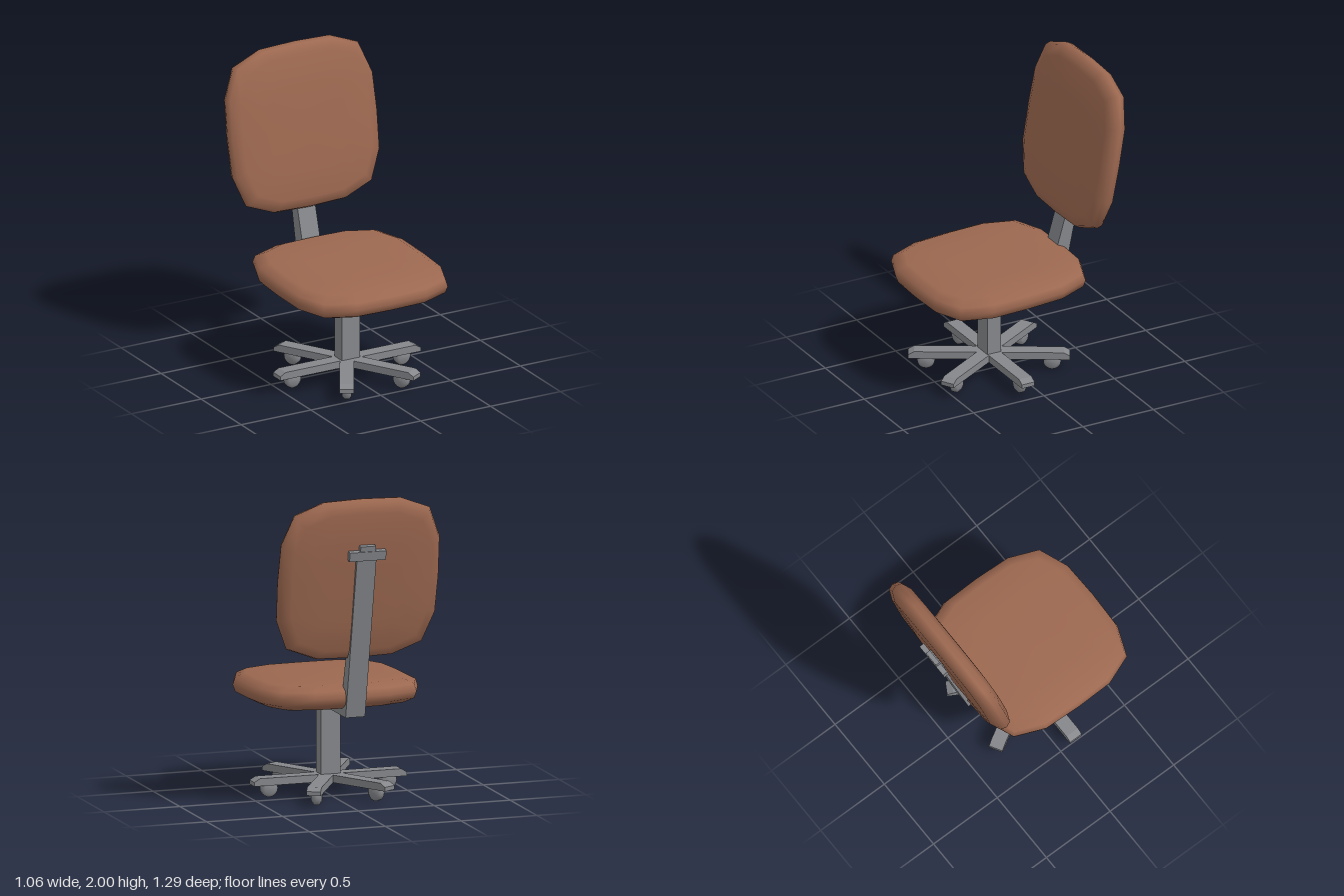
import * as THREE from 'three';

const upholstery = new THREE.MeshStandardMaterial({ color: 0x9c6850 });
upholstery.name = 'brownUpholstery';
const metal = new THREE.MeshStandardMaterial({ color: 0x85878b });
metal.name = 'greyMetal';
const MID_X = -0.015; // the frame sits slightly off the cushions' centre line
const BASE_Z = 0.105;

function add(parent, name, geometry, material, x = 0, y = 0, z = 0) {
  const mesh = new THREE.Mesh(geometry, material);
  mesh.name = name;
  mesh.position.set(x, y, z);
  parent.add(mesh);
  return mesh;
}

// Puffy rounded square lying in xz, lofted from scaled copies of one outline
function cushionGeometry(halfThickness) {
  const quarter = [[0.53, 0], [0.522, 0.25], [0.445, 0.445], [0.25, 0.522]];
  const outline = [];
  for (let q = 0; q < 4; q++) {
    const c = Math.round(Math.cos(q * Math.PI / 2)), s = Math.round(Math.sin(q * Math.PI / 2));
    for (const [x, z] of quarter) outline.push([x * c - z * s, x * s + z * c]);
  }
  const rings = [[0.5, -0.98], [0.86, -0.86], [0.975, -0.5], [1, 0], [0.975, 0.5], [0.86, 0.86], [0.5, 0.98]];
  const n = outline.length, pos = [], index = [];
  for (const [scale, h] of rings) {
    for (const [x, z] of outline) pos.push(x * scale, h * halfThickness, z * scale);
  }
  const bottom = rings.length * n, top = bottom + 1, last = (rings.length - 1) * n;
  pos.push(0, -halfThickness, 0, 0, halfThickness, 0);
  for (let i = 0; i < n; i++) {
    const j = (i + 1) % n;
    for (let r = 0; r < rings.length - 1; r++) {
      const a = r * n + i, b = r * n + j;
      index.push(a, a + n, b, b, a + n, b + n);
    }
    index.push(bottom, i, j, top, last + j, last + i);
  }
  const g = new THREE.BufferGeometry();
  g.setAttribute('position', new THREE.Float32BufferAttribute(pos, 3));
  g.setIndex(index);
  g.computeVertexNormals();
  return g;
}

// Extrudes a side profile given as [z, y] points, centred across x
function sideExtrude(points, width) {
  const shape = new THREE.Shape(points.map(([z, y]) => new THREE.Vector2(-z, y)));
  const g = new THREE.ExtrudeGeometry(shape, { depth: width, bevelEnabled: false });
  g.translate(0, 0, -width / 2);
  g.rotateY(Math.PI / 2);
  return g;
}

export function createModel() {
  const chair = new THREE.Group();
  chair.name = 'officeChair';

  // Cushions
  add(chair, 'seatCushion', cushionGeometry(0.088), upholstery, 0, 0.681, 0.118).rotation.x = 0.04;
  add(chair, 'backCushion', cushionGeometry(0.077), upholstery, 0, 1.477, -0.488).rotation.x = Math.PI / 2 - 0.18;

  // Bent support: tapering bar below the seat, rising behind the back
  const support = [[0.42, 0.575], [0.42, 0.587], [-0.31, 0.64], [-0.4, 0.95], [-0.55, 1.66], [-0.622, 1.66], [-0.4, 0.575]];
  add(chair, 'backSupport', sideExtrude(support, 0.128), metal, MID_X);

  // Clamp at the top of the support
  const clamp = new THREE.Group();
  clamp.name = 'backClamp';
  clamp.position.set(MID_X, 1.645, -0.62);
  clamp.rotation.x = -0.2;
  add(clamp, 'clampPlate', new THREE.BoxGeometry(0.24, 0.06, 0.035), metal);
  add(clamp, 'clampTab', new THREE.BoxGeometry(0.1, 0.035, 0.03), metal, 0, 0.047, 0.002);
  chair.add(clamp);

  // Central post
  add(chair, 'post', new THREE.BoxGeometry(0.128, 0.52, 0.095), metal, MID_X, 0.34, BASE_Z);

  // Six legs with a caster under each tip
  const base = new THREE.Group();
  base.name = 'base';
  base.position.set(MID_X, 0, BASE_Z);
  chair.add(base);
  const legGeometry = sideExtrude([[0, 0.08], [0, 0.128], [0.465, 0.128], [0.503, 0.106], [0.503, 0.08]], 0.09);
  const wheelProfile = [[0, -0.032], [0.035, -0.03], [0.055, -0.014], [0.055, 0.014], [0.035, 0.03], [0, 0.032]]
    .map(([r, y]) => new THREE.Vector2(r, y));
  const wheelGeometry = new THREE.LatheGeometry(wheelProfile, 20).rotateZ(Math.PI / 2);
  for (let i = 0; i < 6; i++) {
    const arm = new THREE.Group();
    arm.name = 'leg' + (i + 1);
    arm.rotation.y = Math.PI / 2 + i * Math.PI / 3;
    add(arm, 'legBar', legGeometry, metal);
    add(arm, 'caster', wheelGeometry, metal, 0, 0.056, 0.392);
    base.add(arm);
  }
  return chair;
}
